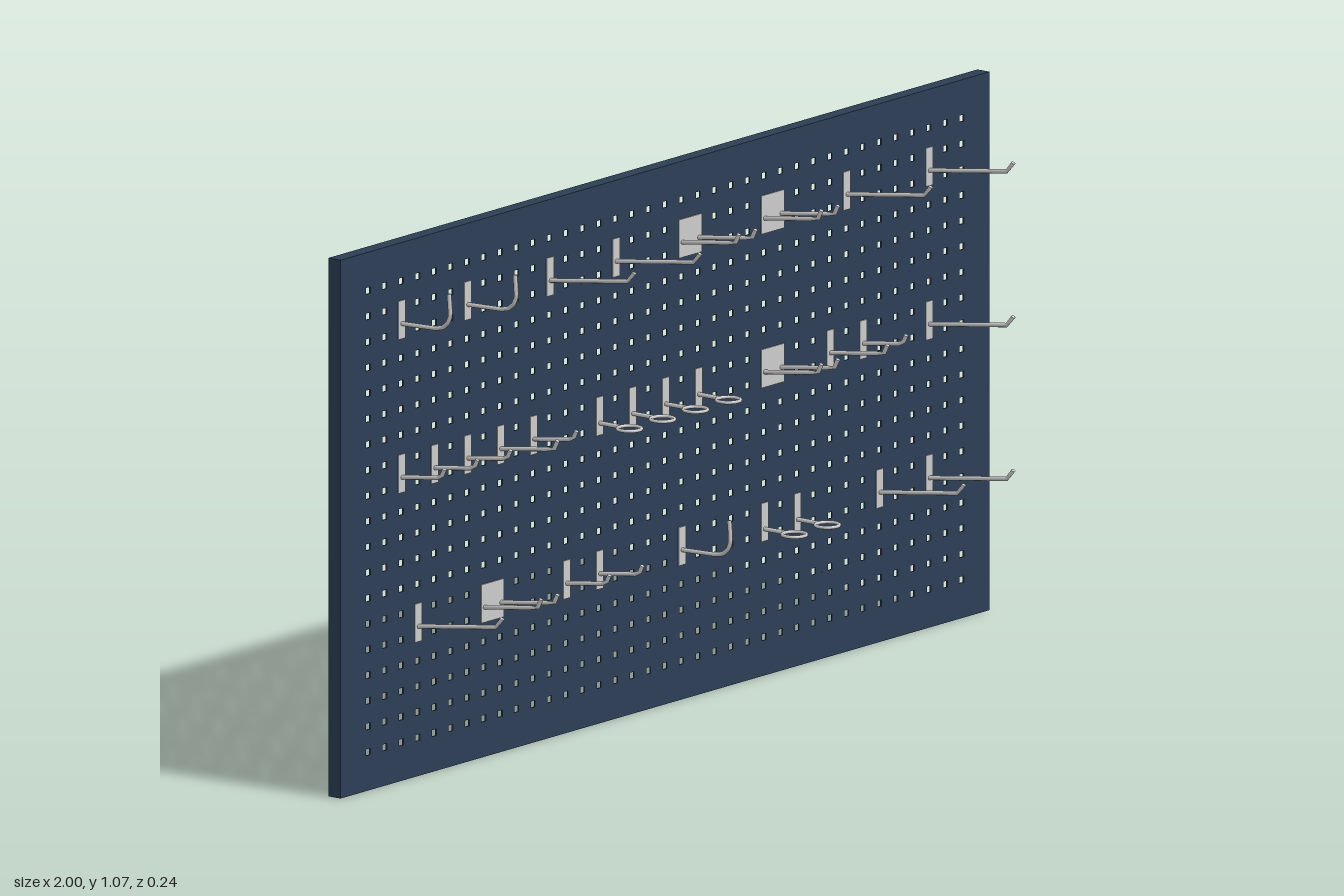
import * as THREE from 'three';

const PITCH = 0.0508, HEIGHT = 1.067, FRONT = -0.09, BACK = -0.12, SHEET = 0.003;
const WIRE = 0.0045;

const panelMat = new THREE.MeshStandardMaterial({ color: 0x2c3e55, side: THREE.DoubleSide });
const hookMat = new THREE.MeshStandardMaterial({ color: 0xcccccc });

function add(parent, name, geometry, material, x = 0, y = 0, z = 0) {
  const mesh = new THREE.Mesh(geometry, material);
  mesh.name = name;
  mesh.position.set(x, y, z);
  parent.add(mesh);
  return mesh;
}

function rectangle(Type, x, y, w, h) {
  const s = new Type();
  s.moveTo(x - w / 2, y - h / 2);
  s.lineTo(x + w / 2, y - h / 2);
  s.lineTo(x + w / 2, y + h / 2);
  s.lineTo(x - w / 2, y + h / 2);
  s.closePath();
  return s;
}

// Perforated sheet with four flanges folded to the back
function createPanel() {
  const panel = new THREE.Group();
  panel.name = 'panel';
  const mid = HEIGHT / 2, hole = 0.0127;
  const face = rectangle(THREE.Shape, 0, mid, 2, HEIGHT);
  for (let c = -18; c <= 18; c++) {
    for (let r = -9; r <= 9; r++) {
      face.holes.push(rectangle(THREE.Path, c * PITCH, mid + r * PITCH, hole, hole));
    }
  }
  const sheet = new THREE.ExtrudeGeometry(face, { depth: SHEET, bevelEnabled: false });
  add(panel, 'perforatedSheet', sheet, panelMat, 0, 0, FRONT - SHEET);

  const depth = FRONT - SHEET - BACK, z = BACK + depth / 2;
  for (const s of [-1, 1]) {
    add(panel, 'sideFlange', new THREE.BoxGeometry(SHEET, HEIGHT, depth), panelMat, s * (1 - SHEET / 2), mid, z);
    add(panel, 'edgeFlange', new THREE.BoxGeometry(2 - 2 * SHEET, SHEET, depth), panelMat,
      0, mid + s * (mid - SHEET / 2), z);
  }
  return panel;
}

// Round wire along straight runs of [z, y] points, closed with flat caps
function addWire(parent, name, points, x = 0) {
  const pts = points.map(([z, y]) => new THREE.Vector3(0, y, z));
  const path = new THREE.CurvePath();
  for (let i = 1; i < pts.length; i++) path.add(new THREE.LineCurve3(pts[i - 1], pts[i]));
  add(parent, name, new THREE.TubeGeometry(path, (pts.length - 1) * 4, WIRE, 8), hookMat, x);
  const ends = [[pts[0], pts[1]], [pts[pts.length - 1], pts[pts.length - 2]]];
  for (const [end, inner] of ends) {
    const cap = add(parent, name + 'End', new THREE.CircleGeometry(WIRE, 8), hookMat, x, end.y, end.z);
    cap.quaternion.setFromUnitVectors(new THREE.Vector3(0, 0, 1), end.clone().sub(inner).normalize());
  }
}

// Sloping prong with an upturned tip that ends at depth z
function prong(z) {
  const bend = z - 0.009, rise = (bend - FRONT) * 0.14 - 0.008;
  return [[FRONT, -0.008], [bend, rise], [z, rise + 0.018]];
}

// Prong that sweeps up into a vertical end
const curved = [[FRONT, -0.008], [-0.005, -0.005], [0.012, -0.001], [0.025, 0.01],
  [0.031, 0.024], [0.0305, 0.042], [0.028, 0.068]];

const prongs = {
  long: prong(0.119), medium: prong(0.052), short: prong(0.017), curved, double: prong(0.052)
};

// Backing plate, rear pegs and the holder itself, centred on the plate
function createHook(type) {
  const hook = new THREE.Group();
  hook.name = type + 'Hook';
  const wide = type === 'double';
  const offsets = wide ? [-PITCH / 2, PITCH / 2] : [0];
  add(hook, 'backPlate', new THREE.BoxGeometry(wide ? 0.07 : 0.0215, 0.076, 0.002), hookMat, 0, 0, FRONT + 0.001);

  for (const x of offsets) {
    // upper peg turns up behind the sheet, lower peg goes straight through
    addWire(hook, 'upperPeg', [[FRONT, PITCH / 2], [-0.103, PITCH / 2], [-0.106, PITCH / 2 + 0.016]], x);
    addWire(hook, 'lowerPeg', [[FRONT, -PITCH / 2], [-0.102, -PITCH / 2]], x);
    if (type === 'ring') {
      addWire(hook, 'ringStem', [[FRONT, -0.014], [-0.038, -0.014]], x);
      const ring = add(hook, 'ring', new THREE.TorusGeometry(0.0235, 0.0035, 8, 28), hookMat, x, -0.014, -0.015);
      ring.rotation.x = Math.PI / 2;
    } else {
      addWire(hook, 'prong', prongs[type], x);
    }
  }
  return hook;
}

// Rows of hooks: type and column in hole pitches
const rows = [
  { y: 0.9145, hooks: {
    curved: [-16, -12], long: [-7, -3, 11, 16], double: [1.5, 6.5] } },
  { y: 0.6097, hooks: {
    short: [-16, -14, -12, -8, 12], medium: [-10, 10], ring: [-4, -2, 0, 2], double: [6.5], long: [16] } },
  { y: 0.3049, hooks: {
    long: [-15, 13, 16], double: [-10.5], short: [-6, -4], curved: [1], ring: [6, 8] } }
];

export function createModel() {
  const model = new THREE.Group();
  model.name = 'pegboard';
  model.add(createPanel());
  for (const { y, hooks } of rows) {
    for (const [type, columns] of Object.entries(hooks)) {
      for (const c of columns) {
        const hook = createHook(type);
        hook.position.set(c * PITCH, y, 0);
        model.add(hook);
      }
    }
  }
  return model;
}
